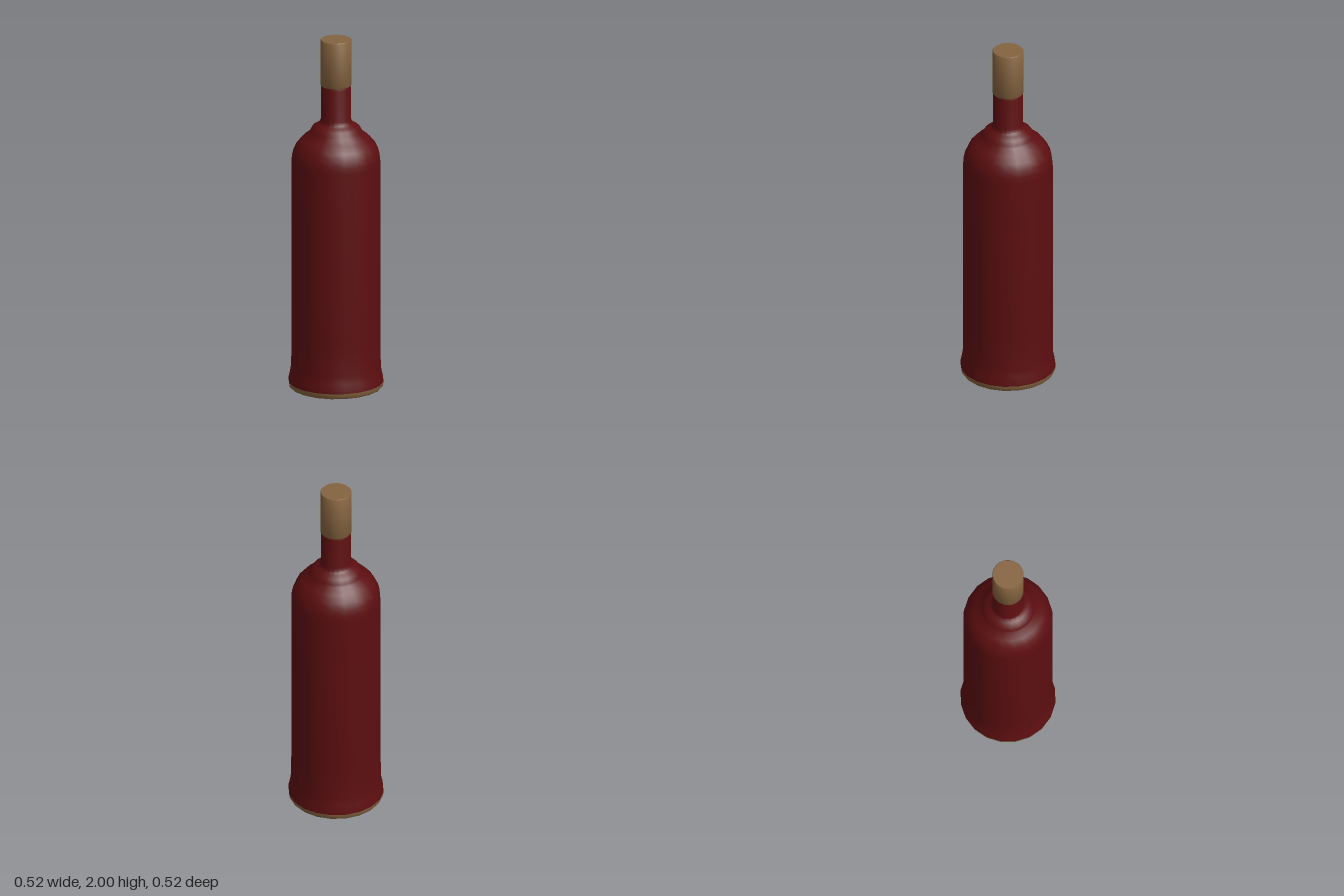
import * as THREE from 'three';
import { toCreasedNormals } from 'three/addons/utils/BufferGeometryUtils.js';

const PHASE = THREE.MathUtils.degToRad(8);

// Revolve a [radius, height] profile, keeping hard edges sharp
function turned(name, profile, sides, material) {
  const points = profile.map(([r, y]) => new THREE.Vector2(r, y));
  const lathe = new THREE.LatheGeometry(points, sides, PHASE);
  const mesh = new THREE.Mesh(toCreasedNormals(lathe, 0.65), material);
  mesh.name = name;
  return mesh;
}

export function createModel() {
  const redGlass = new THREE.MeshStandardMaterial({ color: 0x5c0e10 });
  redGlass.name = 'red glass';
  const corkBrown = new THREE.MeshStandardMaterial({ color: 0x85643f });
  corkBrown.name = 'cork brown';

  const bottle = new THREE.Group();
  bottle.name = 'bottle';

  // Flared foot, straight body, domed shoulder, collar and neck
  bottle.add(turned('bottleBody', [
    [0.263, 0.035], [0.262, 0.05], [0.254, 0.085], [0.248, 0.125],
    [0.247, 0.3], [0.247, 1.29], [0.244, 1.325], [0.236, 1.36],
    [0.217, 1.4], [0.187, 1.435], [0.15, 1.462], [0.143, 1.475],
    [0.13, 1.498], [0.108, 1.512], [0.09, 1.525], [0.083, 1.545],
    [0.083, 1.722], [0.079, 1.735], [0, 1.735],
  ], 20, redGlass));

  // Brown band around the foot, with a rounded lower edge
  bottle.add(turned('baseBand', [
    [0.241, 0], [0.253, 0.004], [0.26, 0.013], [0.263, 0.035],
  ], 20, corkBrown));

  // Red underside
  bottle.add(turned('bottleUnderside', [[0, 0], [0.241, 0]], 20, redGlass));

  // Stopper resting on the neck
  bottle.add(turned('stopper', [
    [0, 1.736], [0.082, 1.736], [0.086, 1.742],
    [0.086, 1.995], [0.083, 2], [0, 2],
  ], 32, corkBrown));

  return bottle;
}
